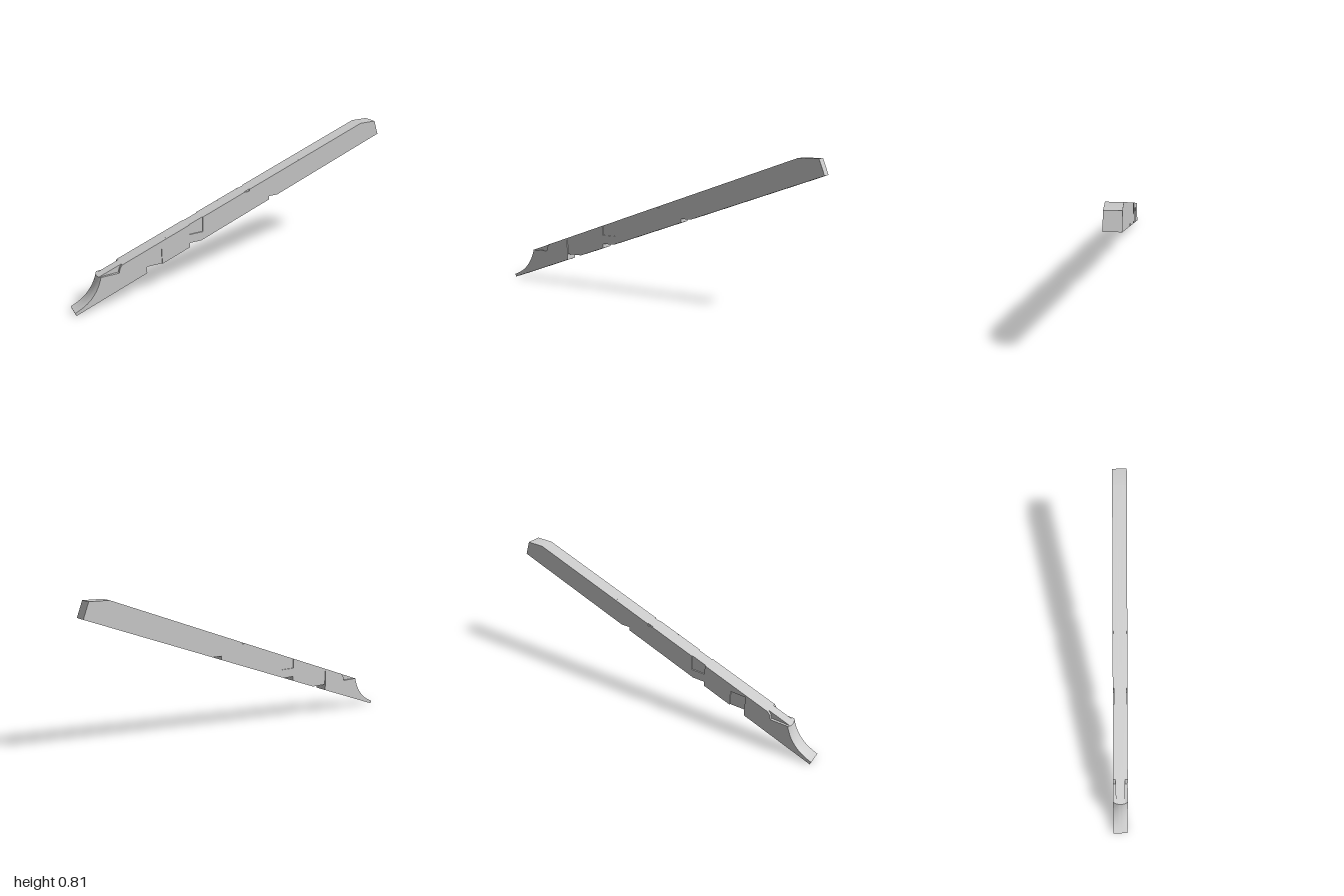
import * as THREE from 'three';
import { toCreasedNormals } from 'three/addons/utils/BufferGeometryUtils.js';

const HALF = 0.042;      // half the rafter's thickness
const SLOPE = 0.3655;
const top = x => 0.501 + SLOPE * x;
const bottom = x => SLOPE * (x + 0.994);

// Side outline; tailCut opens the deep cuts at the tail, pockets the shallow housings.
function outline(tailCut, pockets) {
  const s = new THREE.Shape();
  const to = (...pts) => pts.forEach(([x, y]) => s.lineTo(x, y));
  s.moveTo(-0.994, 0);
  // underside with its three seats
  to([-0.58, bottom(-0.58)]);
  if (pockets) to([-0.58, 0.277], [-0.487, 0.277], [-0.487, 0.187]);
  else to([-0.58, 0.187]);
  to([-0.483, 0.187], [-0.315, bottom(-0.315)], [-0.315, 0.275], [-0.242, 0.275]);
  to([0.205, bottom(0.205)], [0.205, 0.46], [0.264, 0.46], [1, 0.729]);
  // head end, levelled off on top
  to([0.968, 0.815], [0.859, 0.815]);
  // upper edge, back down to the tail
  if (pockets) {
    to([0.075, top(0.075)], [0.07, 0.515], [0.038, 0.515]);
    to([-0.23, top(-0.23)], [-0.23, 0.327], [-0.317, 0.327], [-0.317, top(-0.317)]);
  }
  if (tailCut) to([-0.72, top(-0.72)], [-0.734, 0.218], [-0.74, 0.193]);
  to([-0.855, top(-0.855)]);
  // hollow curve of the tail
  s.quadraticCurveTo(-0.888, 0.062, -1, 0.017);
  s.closePath();
  return s;
}

// One layer of the rafter between two depths, its hollow falling away towards the sides.
function layer(name, shape, z0, z1, steps) {
  const geo = new THREE.ExtrudeGeometry(shape, {
    depth: z1 - z0, steps, curveSegments: 16, bevelEnabled: false,
  });
  geo.translate(0, 0, z0);
  const p = geo.attributes.position;
  for (let i = 0; i < p.count; i++) {
    if (p.getX(i) > -0.85) continue;
    const w = THREE.MathUtils.clamp((p.getY(i) - 0.017) / 0.03, 0, 1);
    const d = 0.012 * w * (p.getZ(i) / HALF) ** 2;
    p.setX(i, p.getX(i) + d);
    p.setY(i, p.getY(i) + d * SLOPE);
  }
  const mesh = new THREE.Mesh(
    toCreasedNormals(geo, 0.4),
    new THREE.MeshStandardMaterial({ color: 0xcccccc }),
  );
  mesh.name = name;
  return mesh;
}

export function createModel() {
  const rafter = new THREE.Group();
  rafter.name = 'rafter';
  const inner = 0.027, outer = 0.036;
  rafter.add(layer('core', outline(false, false), -inner, inner, 8));
  // mirrored side layers
  const mid = outline(true, false), face = outline(true, true);
  rafter.add(layer('leftTailCutLayer', mid, inner, outer, 2));
  rafter.add(layer('rightTailCutLayer', mid, -outer, -inner, 2));
  rafter.add(layer('leftHousingLayer', face, outer, HALF, 1));
  rafter.add(layer('rightHousingLayer', face, -HALF, -outer, 1));
  return rafter;
}
